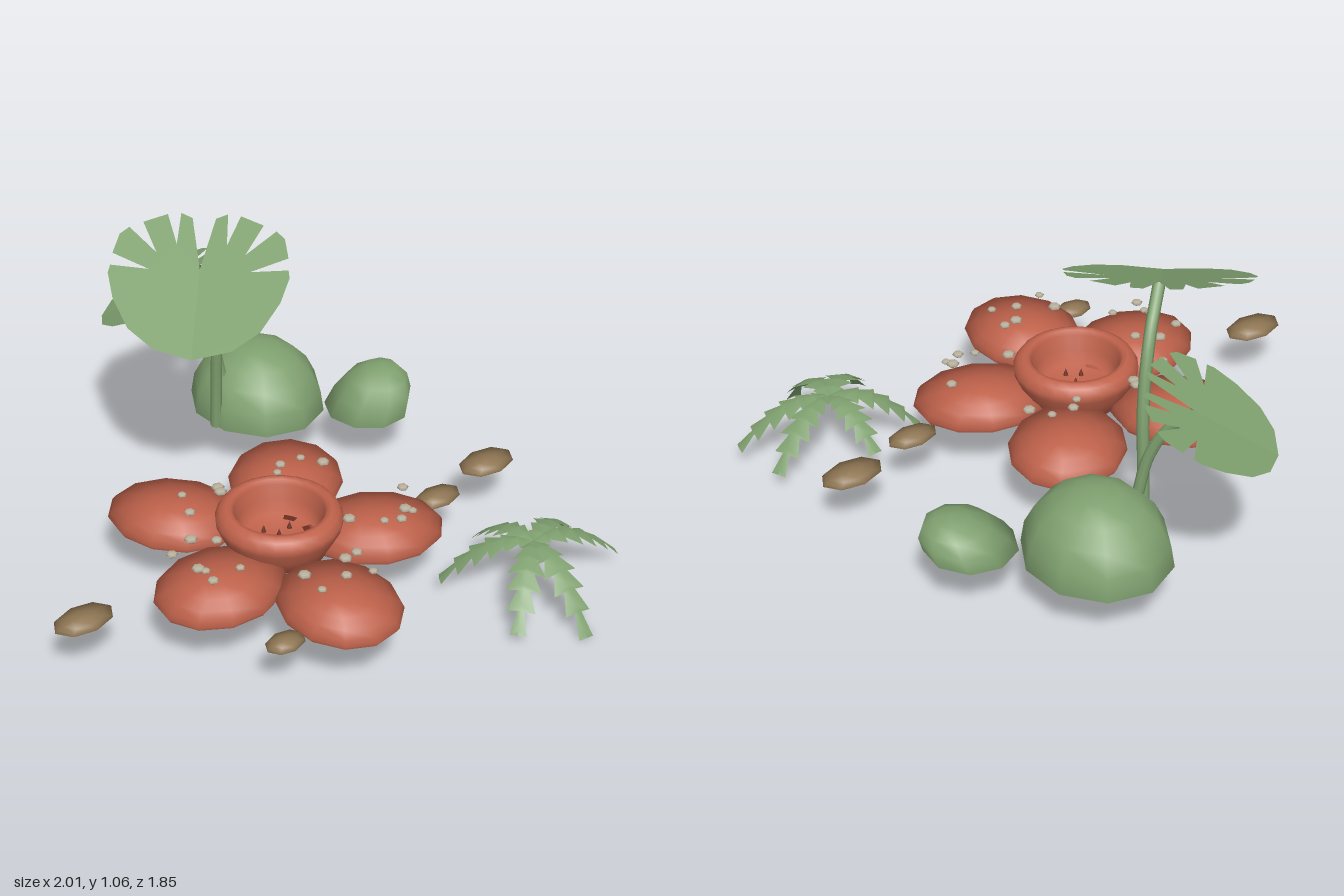
import * as THREE from 'three';

const mat = (name, color, side = THREE.DoubleSide) => {
  const m = new THREE.MeshStandardMaterial({ color, side });
  m.name = name;
  return m;
};

export function createModel() {
  const green = mat('leaf green', 0x7fa06f);
  const red = mat('petal red', 0xbf624b);
  const darkRed = mat('deep red', 0x6b2d22);
  const brown = mat('pebble brown', 0x8f7653);
  const beige = mat('wart beige', 0xb9af9c);
  const model = new THREE.Group();
  const add = (name, geo, material, parent = model) => {
    const mesh = new THREE.Mesh(geo, material);
    mesh.name = name;
    parent.add(mesh);
    return mesh;
  };
  const group = (name) => {
    const g = new THREE.Group();
    g.name = name;
    model.add(g);
    return g;
  };
  const V = (x, y, z) => new THREE.Vector3(x, y, z);
  const GROUND = 0.2;

  // Sphere pressed flat below the floor level, optionally leaning back; keeps its round normals
  const dome = (rx, ry, rz, sides, rows, floor = 0, lean = 0) => {
    const g = new THREE.SphereGeometry(1, sides, rows);
    const p = g.attributes.position;
    for (let i = 0; i < p.count; i++) {
      const y = (Math.max(p.getY(i), floor) - floor) * ry;
      p.setXYZ(i, p.getX(i) * rx, y, p.getZ(i) * rz - lean * y);
    }
    return g;
  };

  // Rounded bushes
  add('largeBush', dome(0.26, 0.25, 0.235, 10, 10), green).position.set(-0.593, GROUND, -0.485);
  add('smallBush', dome(0.157, 0.155, 0.152, 9, 8, 0, 0.5), green).position.set(-0.3, GROUND, -0.758);

  // Flower petals around the bowl: [x, z, angle]
  const flower = group('flower');
  const cx = 0.135, cz = 0.05;
  for (const [x, z, deg] of [[0.53, 0.14, 12], [0.21, 0.372, 84], [-0.2, 0.222, 154],
    [-0.115, -0.2, 226], [0.297, -0.232, 298]]) {
    const petal = add('petal', dome(0.24, 0.055, 0.2, 12, 10, -0.42), red, flower);
    petal.position.set(x, GROUND, z);
    petal.rotation.y = -THREE.MathUtils.degToRad(deg);
  }

  // Flower bowl with thick rim and sunken floor
  const profile = [[0, 0.2], [0.165, 0.2], [0.19, 0.25], [0.212, 0.295], [0.215, 0.32], [0.2, 0.345], [0.178, 0.357],
    [0.162, 0.355], [0.152, 0.34], [0.138, 0.29], [0.118, 0.24], [0, 0.235]].map(([r, y]) => new THREE.Vector2(r, y));
  add('flowerBowl', new THREE.LatheGeometry(profile, 24), red, flower).position.set(cx, 0, cz);

  // Spikes and two dark crescents inside the bowl
  for (const [x, z] of [[0, 0], [-0.01, -0.055], [-0.05, 0.025], [0.03, 0.05], [0.065, 0.01]]) {
    add('spike', new THREE.ConeGeometry(0.01, 0.03, 6), darkRed, flower).position.set(cx + x, 0.25, cz + z);
  }
  for (const start of [0.28, 0.58]) {
    const crescent = new THREE.RingGeometry(0.085, 0.11, 6, 1, Math.PI * start, Math.PI * 0.14);
    crescent.rotateX(-Math.PI / 2);
    add('crescent', crescent, darkRed, flower).position.set(cx, 0.244, cz);
  }

  // Pale warts floating over each petal
  const warts = group('warts');
  const wartSpots = [
    [-0.06, -0.22], [-0.075, -0.14], [0.01, -0.26], [-0.045, -0.1],
    [0.3, -0.36], [0.395, -0.28], [0.42, -0.29], [0.43, -0.23], [0.315, -0.1], [0.4, -0.18],
    [0.47, 0.01], [0.47, 0.06], [0.58, 0.04], [0.54, 0.12], [0.45, 0.22], [0.545, 0.23],
    [0.12, 0.31], [0.06, 0.37], [0.285, 0.35], [0.085, 0.47], [0.2, 0.455], [0.225, 0.445], [0.28, 0.46],
    [-0.11, 0.11], [-0.155, 0.23], [-0.06, 0.275], [-0.085, 0.12]];
  wartSpots.forEach(([x, z], i) => {
    const r = 0.017 + 0.0035 * (i % 3);
    const wart = add('wart', new THREE.SphereGeometry(r, 6, 4), beige, warts);
    wart.scale.y = 0.45;
    wart.position.set(x, 0.333, z);
  });

  // Flat pebbles
  const pebbles = group('pebbles');
  for (const [x, z, rx, rz] of [[0.25, -0.82, 0.075, 0.115], [0.29, -0.54, 0.06, 0.095],
    [0.55, 0.39, 0.053, 0.075], [0.035, 0.8, 0.073, 0.113]]) {
    add('pebble', dome(rx, 0.017, rz, 8, 8, -0.3), brown, pebbles).position.set(x, GROUND, z);
  }

  // Split leaves: one half outline as [sideways, towards tip], mirrored
  const half = [[0, 0.335], [0.13, 0.31], [0.22, 0.245], [0.28, 0.14], [0.305, 0.05], [0.3, 0.02], [0.17, 0.02],
    [0.297, -0.025], [0.28, -0.1], [0.25, -0.13], [0.15, -0.045], [0.205, -0.155], [0.125, -0.195],
    [0.085, -0.085], [0.08, -0.205], [0.04, -0.19], [0, 0]];
  const splitLeaf = (name, at, angle, size, slope, fold, roll) => {
    const g = group(name);
    const dx = Math.cos(angle), dz = Math.sin(angle);
    for (const side of [1, -1]) {
      const shape = new THREE.Shape(half.map(([t, s]) => new THREE.Vector2(side * t * size, s * size)));
      const geo = new THREE.ShapeGeometry(shape);
      const p = geo.attributes.position;
      for (let i = 0; i < p.count; i++) {
        const t = p.getX(i), s = p.getY(i);
        p.setXYZ(i, at.x + s * dx - t * dz, at.y - slope * s + fold * Math.abs(t) + roll * t, at.z + s * dz + t * dx);
      }
      geo.computeVertexNormals();
      add('leafHalf', geo, green, g);
    }
  };
  const stalk = (name, points, r) =>
    add(name, new THREE.TubeGeometry(new THREE.CatmullRomCurve3(points), 14, r, 8), green);

  stalk('tallStalk', [V(-0.565, 0.2, -0.265), V(-0.555, 0.42, -0.26), V(-0.535, 0.63, -0.245),
    V(-0.495, 0.84, -0.185), V(-0.43, 0.96, -0.09)], 0.02);
  splitLeaf('tallLeaf', V(-0.43, 0.965, -0.09), Math.PI / 4, 1, 0.46, 0.09, 0);
  stalk('shortStalk', [V(-0.605, 0.37, -0.325), V(-0.625, 0.5, -0.305), V(-0.675, 0.62, -0.27),
    V(-0.755, 0.705, -0.23)], 0.019);
  splitLeaf('shortLeaf', V(-0.755, 0.71, -0.23), Math.PI * 0.765, 0.77, 0.55, 0.05, -0.08);

  // Fern frond: ribbon of swept teeth arching down from the crown to its tip
  const crown = V(0.68, 0.2, -0.605);
  const toothWidths = [0.035, 0.052, 0.063, 0.06, 0.048, 0.028];
  const frond = (tx, ty, tz) => {
    const dx = tx - crown.x, dz = tz - crown.z, len = Math.hypot(dx, dz);
    const teeth = toothWidths.length, pos = [], index = [];
    const row = (u, w, sweep) => {
      for (const k of [-1, 0, 1]) {
        const v = Math.min(u + Math.abs(k) * sweep, 1);
        const y = crown.y + 0.1 * v + (ty - crown.y - 0.1) * v * v - Math.abs(k) * w * 0.25;
        pos.push(crown.x + dx * v - k * w * dz / len, y, crown.z + dz * v + k * w * dx / len);
      }
    };
    toothWidths.forEach((w, i) => {
      row(i / teeth, w * 0.45, 0);
      row((i + 0.75) / teeth, w, 0.2 / teeth);
    });
    row(1, 0.001, 0);
    for (let r = 0; r < teeth * 2; r++) {
      for (const c of [0, 1]) {
        const a = r * 3 + c;
        index.push(a, a + 1, a + 3, a + 1, a + 4, a + 3);
      }
    }
    const geo = new THREE.BufferGeometry();
    geo.setAttribute('position', new THREE.Float32BufferAttribute(pos, 3));
    geo.setIndex(index);
    geo.computeVertexNormals();
    return geo;
  };
  const fern = group('fern');
  for (const tip of [[0.78, 0.07, -0.92], [0.575, 0.06, -0.9], [0.425, 0.09, -0.6],
    [0.495, 0.06, -0.355], [0.87, 0.04, -0.35], [1, 0.005, -0.545]]) {
    add('frond', frond(...tip), green, fern);
  }
  return model;
}
